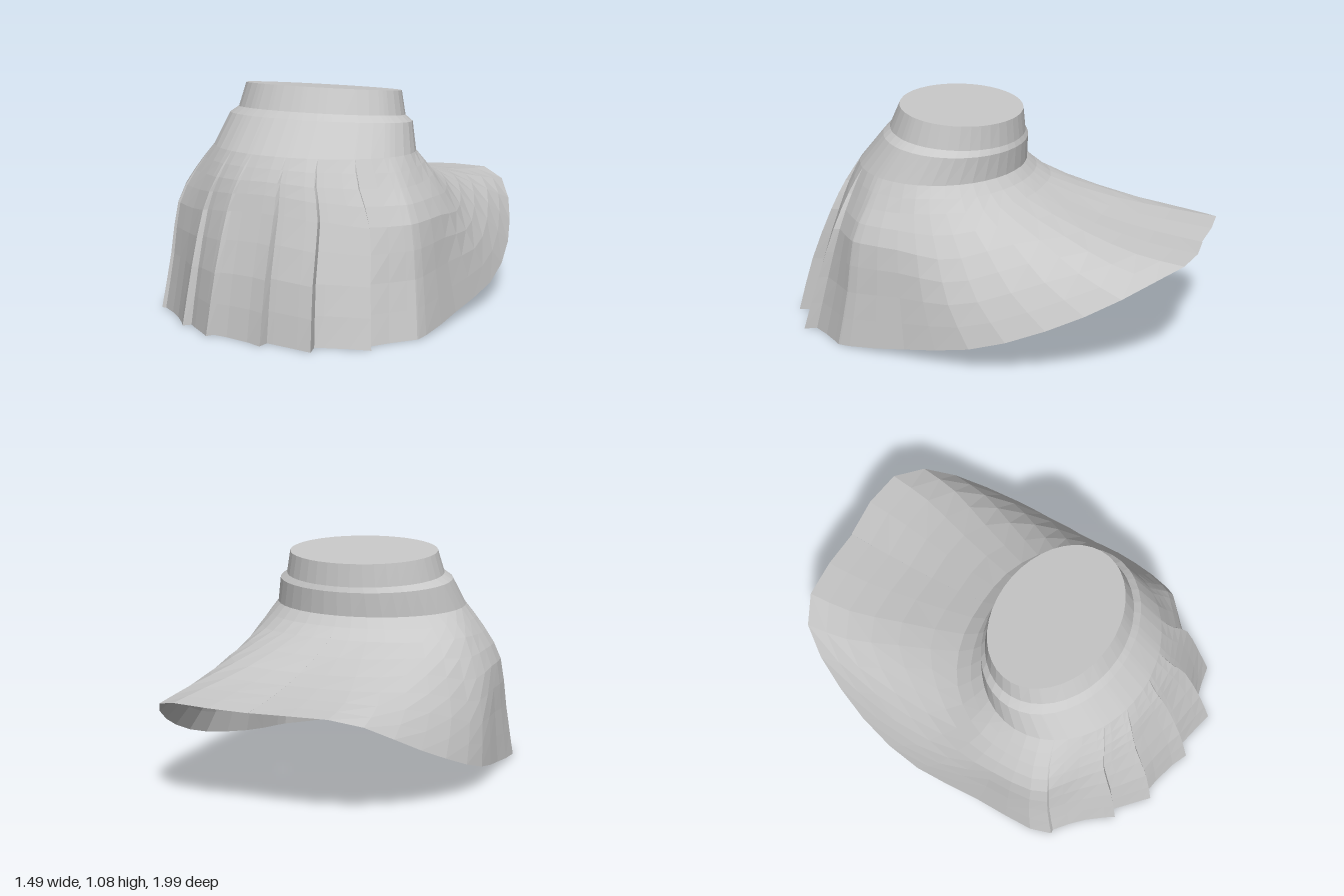
import * as THREE from 'three';

// Closed ring from nine points running front to back along the left side, mirrored to the right
function ring(half, shift = 0) {
  const pts = [];
  for (let i = -8; i < 8; i++) {
    const [x, y, z] = half[Math.abs(i)];
    pts.push(new THREE.Vector3((i < 0 ? -x : x) + shift, y, z));
  }
  return new THREE.CatmullRomCurve3(pts, true, 'catmullrom', 0.5);
}

// Tilted oval ring for the waist, slightly off centre
function oval(rx, zFront, zBack, yFront, yBack) {
  const half = [];
  for (let i = 0; i <= 8; i++) {
    const a = (i / 8) * Math.PI, k = (1 - Math.cos(a)) / 2;
    half.push([rx * Math.sin(a), yFront + (yBack - yFront) * k, zFront + (zBack - zFront) * k]);
  }
  return ring(half, 0.012);
}

// Position on a ring: t = 0 at the front, +-8 at the back
const at = (curve, t) => curve.getPoint((((t + 8) / 16) % 1 + 1) % 1);

// Open surface from rows of points
function loft(rows) {
  const n = rows[0].length, pos = [], idx = [];
  rows.forEach(r => r.forEach(p => pos.push(p.x, p.y, p.z)));
  for (let j = 0; j < rows.length - 1; j++) {
    for (let i = 0; i < n - 1; i++) {
      const a = j * n + i, b = a + 1, c = a + n, d = c + 1;
      idx.push(a, c, b, b, c, d);
    }
  }
  const g = new THREE.BufferGeometry();
  g.setAttribute('position', new THREE.Float32BufferAttribute(pos, 3));
  g.setIndex(idx);
  g.computeVertexNormals();
  return g;
}

export function createModel() {
  const group = new THREE.Group();
  const cloth = new THREE.MeshStandardMaterial({ color: 0xc8c8c8, side: THREE.DoubleSide, flatShading: true });
  cloth.name = 'grey cloth';
  const add = (name, geometry) => {
    const mesh = new THREE.Mesh(geometry, cloth);
    mesh.name = name;
    group.add(mesh);
  };

  // Waist rings
  const top = oval(0.38, 0.505, -0.06, 1.075, 1.01);
  const bandLow = oval(0.405, 0.555, -0.07, 0.965, 0.9);
  const lip = oval(0.445, 0.585, -0.08, 0.935, 0.875);
  const hip = oval(0.485, 0.71, -0.075, 0.785, 0.76);

  // Skirt rings, flaring over the hindquarters
  const upper = ring([[0, .68, .77], [.22, .67, .74], [.4, .66, .64], [.53, .65, .5], [.56, .65, .32],
    [.54, .66, .14], [.42, .66, -.04], [.23, .665, -.15], [0, .665, -.18]]);
  const middle = ring([[0, .55, .82], [.26, .53, .79], [.47, .5, .68], [.6, .5, .54], [.64, .5, .3],
    [.63, .48, .05], [.52, .55, -.22], [.33, .565, -.45], [0, .56, -.48]]);
  const lower = ring([[0, .28, .91], [.28, .27, .88], [.5, .26, .74], [.63, .26, .56], [.67, .28, .28],
    [.7, .3, -.04], [.61, .42, -.4], [.42, .505, -.71], [0, .508, -.74]]);
  const hem = ring([[0, 0, .97], [.3, 0, .94], [.53, 0, .8], [.66, 0, .6], [.7, .04, .25],
    [.745, .13, -.17], [.655, .3, -.6], [.45, .475, -.925], [0, .48, -.97]]);

  // Pleats: position round the skirt, outer fold before the step, inner fold after it
  const pleats = [[-2.8, -0.01, -0.03], [-1.4, -0.035, -0.075], [-0.66, 0, -0.035],
    [0.27, 0.025, -0.03], [1.03, 0.045, -0.03], [1.95, 0.04, -0.02], [3, 0, 0]];
  const cols = [];
  for (let i = -20; i <= 20; i++) {
    const t = i * 0.4;
    if (pleats.some(p => Math.abs(p[0] - t) < 0.12)) continue;
    // Cloth between two steps runs almost straight from the inner fold to the outer fold
    const n = pleats.findIndex(p => p[0] > t);
    let fold = 0;
    if (n > 0) {
      const a = pleats[n - 1], b = pleats[n], w = b[0] - a[0], s = (t - a[0]) / w;
      fold = a[2] + (b[1] - a[2]) * s - 0.08 * w * w * s * (1 - s);
    }
    cols.push({ t, fold });
  }
  for (const [t, outer, inner] of pleats) {
    cols.push({ t: t - 0.02, fold: outer }, { t: t + 0.02, fold: inner });
  }
  cols.sort((a, b) => a.t - b.t);

  // Waistband and its closed top
  add('waistband', loft([top, bandLow, lip].map(r => cols.map(c => at(r, c.t)))));
  const centre = new THREE.Vector3(0.012, 1.0425, 0.2225);
  add('waistCap', loft([cols.map(() => centre), cols.map(c => at(top, c.t))]));

  // Skirt, with the folds deepening towards the hem
  const rows = [cols.map(c => at(lip, c.t)), ...Array.from({ length: 9 }, () => [])];
  for (const { t, fold } of cols) {
    const down = new THREE.CatmullRomCurve3([hip, upper, middle, lower, hem].map(r => at(r, t)),
      false, 'catmullrom', 0.5);
    for (let j = 0; j <= 8; j++) {
      const k = j / 8, p = down.getPoint(k);
      const out = new THREE.Vector3(p.x, 0, p.z - 0.2).normalize();
      p.addScaledVector(out, fold * k);
      // Uneven back hem
      p.z -= 0.03 * k * k * Math.exp(-(((t - 7.4) / 0.4) ** 2));
      p.y = Math.max(p.y, 0);
      rows[j + 1].push(p);
    }
  }
  add('pleatedSkirt', loft(rows));
  return group;
}
